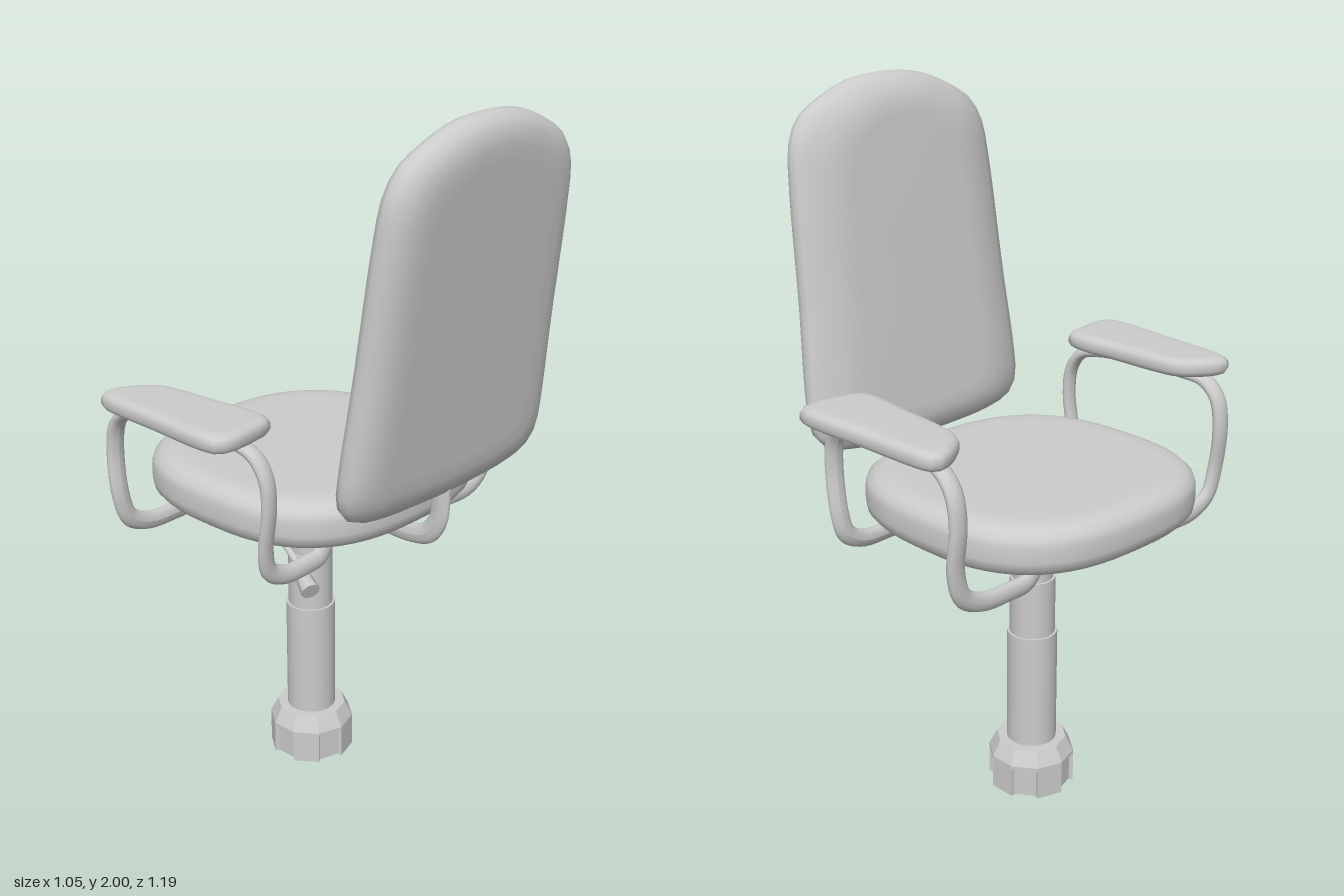
import * as THREE from 'three';

const material = new THREE.MeshStandardMaterial({ color: 0xcccccc, side: THREE.DoubleSide });
const flatMaterial = new THREE.MeshStandardMaterial({ color: 0xcccccc, side: THREE.DoubleSide, flatShading: true });

function add(parent, name, geometry, mat = material) {
  const mesh = new THREE.Mesh(geometry, mat);
  mesh.name = name;
  parent.add(mesh);
  return mesh;
}

// Smooth closed outline through a few points
function smoothOutline(points, count) {
  const curve = new THREE.CatmullRomCurve3(points.map(([x, y]) => new THREE.Vector3(x, y, 0)), true);
  return curve.getSpacedPoints(count).slice(0, count).map(p => new THREE.Vector2(p.x, p.y));
}

// Cushion: outline in xy, rings [height, insetX, insetY] stacked along z, closed at both ends
function cushion(outline, rings) {
  if (THREE.ShapeUtils.area(outline) < 0) outline.reverse();
  const box = new THREE.Box2().setFromPoints(outline);
  const c = box.getCenter(new THREE.Vector2());
  const half = box.getSize(new THREE.Vector2()).multiplyScalar(0.5);
  const n = outline.length, pos = [], index = [];
  for (const [h, ix, iy = ix] of rings)
    for (const p of outline)
      pos.push(c.x + (p.x - c.x) * (1 - ix / half.x), c.y + (p.y - c.y) * (1 - iy / half.y), h);
  const bottom = pos.length / 3, top = bottom + 1, last = (rings.length - 1) * n;
  pos.push(c.x, c.y, rings[0][0], c.x, c.y, rings[rings.length - 1][0]);
  for (let j = 0; j < n; j++) {
    const k = (j + 1) % n;
    for (let i = 0; i < last; i += n) index.push(i + j, i + k, i + n + k, i + j, i + n + k, i + n + j);
    index.push(bottom, k, j, top, last + j, last + k);
  }
  const g = new THREE.BufferGeometry();
  g.setAttribute('position', new THREE.Float32BufferAttribute(pos, 3));
  g.setIndex(index);
  g.computeVertexNormals();
  return g;
}

// Bent bar with an oval section: narrow along the frame normal, wide along the binormal
function bentBar(points, narrow, wide, segments) {
  const curve = new THREE.CatmullRomCurve3(points.map(p => new THREE.Vector3(...p)), false, 'centripetal');
  const radial = 12;
  const g = new THREE.TubeGeometry(curve, segments, narrow, radial);
  const { binormals } = curve.computeFrenetFrames(segments);
  const pos = g.attributes.position, v = new THREE.Vector3();
  for (let i = 0; i <= segments; i++) {
    const center = curve.getPointAt(i / segments);
    for (let j = 0; j <= radial; j++) {
      const id = i * (radial + 1) + j;
      v.fromBufferAttribute(pos, id);
      const along = v.clone().sub(center).dot(binormals[i]);
      v.addScaledVector(binormals[i], along * (wide / narrow - 1));
      pos.setXYZ(id, v.x, v.y, v.z);
    }
  }
  g.computeVertexNormals();
  return g;
}

function createSeat() {
  const outline = [], e = 2 / 2.7;
  for (let i = 0; i < 56; i++) {
    const a = i / 56 * Math.PI * 2, c = Math.cos(a), s = Math.sin(a);
    outline.push(new THREE.Vector2(-0.122 + 0.41 * Math.sign(c) * Math.abs(c) ** e, 0.418 * Math.sign(s) * Math.abs(s) ** e));
  }
  return cushion(outline, [[0.865, 0.06], [0.865, 0.04], [0.872, 0.018], [0.89, 0.003], [0.91, 0],
    [0.95, 0], [0.972, 0.006], [0.99, 0.025], [0.998, 0.05], [1, 0.08], [1, 0.12]]).rotateX(-Math.PI / 2);
}

function createBackrest() {
  const side = [[0.12, 1.988], [0.22, 1.952], [0.3, 1.905], [0.338, 1.84], [0.352, 1.74], [0.37, 1.4],
    [0.388, 1.12], [0.382, 1.055], [0.345, 1.01], [0.25, 0.985], [0.12, 0.975]];
  const mirrored = side.map(([x, y]) => [-x, y]).reverse();
  const outline = smoothOutline([[0, 2], ...side, [0, 0.972], ...mirrored], 72);
  const g = cushion(outline, [[-0.065, 0.14, 0.12], [-0.065, 0.09, 0.08], [-0.058, 0.05, 0.045], [-0.042, 0.02], [-0.02, 0.004],
    [0, 0], [0.018, 0.006], [0.038, 0.04, 0.02], [0.054, 0.085, 0.045], [0.064, 0.13, 0.075], [0.065, 0.18, 0.11]]);
  g.rotateY(-Math.PI / 2);
  // Lean the cushion backwards
  g.applyMatrix4(new THREE.Matrix4().set(1, 0.128, 0, 0.335 - 0.128, 0, 1, 0, 0, 0, 0, 1, 0, 0, 0, 0, 1));
  g.computeVertexNormals();
  return g;
}

function createArm() {
  const arm = new THREE.Group();
  const pad = smoothOutline([[-0.362, 0.535], [-0.335, 0.465], [-0.285, 0.412], [-0.21, 0.396], [-0.06, 0.387], [0.07, 0.377],
    [0.115, 0.392], [0.132, 0.45], [0.141, 0.55], [0.125, 0.586], [0.075, 0.595], [-0.12, 0.582], [-0.3, 0.571], [-0.348, 0.56]], 48);
  const padGeometry = cushion(pad, [[1.193, 0.03], [1.193, 0.018], [1.199, 0.006], [1.21, 0], [1.226, 0],
    [1.236, 0.005], [1.243, 0.016], [1.245, 0.03], [1.245, 0.045]]);
  padGeometry.rotateX(-Math.PI / 2);
  // Slight rise toward the rear
  padGeometry.applyMatrix4(new THREE.Matrix4().set(1, 0, 0, 0, 0.018, 1, 0, 0.002, 0, 0, 1, 0, 0, 0, 0, 1));
  add(arm, 'armPad', padGeometry);
  const path = [[-0.365, 0.865, 0.215], [-0.365, 0.815, 0.25], [-0.365, 0.808, 0.32], [-0.365, 0.812, 0.41], [-0.365, 0.845, 0.475],
    [-0.367, 0.92, 0.5], [-0.378, 1.05, 0.5], [-0.362, 1.13, 0.5], [-0.32, 1.172, 0.497], [-0.25, 1.183, 0.49],
    [0.05, 1.183, 0.465], [0.12, 1.162, 0.457], [0.157, 1.11, 0.453], [0.166, 1.03, 0.452], [0.15, 0.9, 0.452],
    [0.145, 0.84, 0.435], [0.145, 0.81, 0.38], [0.145, 0.808, 0.3], [0.145, 0.815, 0.25], [0.145, 0.865, 0.215]];
  add(arm, 'armFrame', bentBar(path.map(([x, y, z]) => [x, y, -z]), 0.017, 0.027, 110));
  return arm;
}

// Ten-sided hub: sloped collar over panels, every other one set back as a leg socket
function createHub() {
  const hub = new THREE.Group();
  const profile = [[0.125, 0.09], [0.125, 0.1], [0.102, 0.145], [0.06, 0.145]].map(p => new THREE.Vector2(...p));
  add(hub, 'hubCollar', new THREE.LatheGeometry(profile, 10, Math.PI / 10), flatMaterial);
  for (let i = 0; i < 10; i++) {
    const recessed = i % 2 === 0;
    const panel = new THREE.BoxGeometry(recessed ? 0.072 : 0.077, 0.09, 0.012);
    panel.translate(0, 0.045, recessed ? 0.101 : 0.113).rotateY(i * Math.PI / 5);
    add(hub, recessed ? 'legSocket' : 'hubPanel', panel, flatMaterial);
  }
  return hub;
}

export function createModel() {
  const chair = new THREE.Group();
  chair.name = 'officeChair';

  add(chair, 'seat', createSeat());
  add(chair, 'backrest', createBackrest());
  add(chair, 'seatPlate', new THREE.BoxGeometry(0.38, 0.02, 0.32)).position.set(-0.125, 0.862, 0);

  for (const side of [1, -1]) {
    const arm = createArm();
    arm.name = side > 0 ? 'rightArm' : 'leftArm';
    arm.scale.z = side;
    chair.add(arm);
  }

  // Bar carrying the backrest
  add(chair, 'backBar', bentBar([[0.06, 0.838, 0], [0.15, 0.832, 0], [0.25, 0.832, 0], [0.31, 0.85, 0],
    [0.345, 0.9, 0], [0.353, 0.96, 0], [0.353, 1.03, 0]], 0.014, 0.03, 40));
  add(chair, 'backBarClamp', new THREE.BoxGeometry(0.05, 0.045, 0.07)).position.set(0.068, 0.843, 0);

  // Telescopic column and hub
  const column = new THREE.Group();
  column.name = 'column';
  column.position.set(-0.123, 0, 0.01);
  for (const [name, r, y0, y1] of [['lowerTube', 0.072, 0.1, 0.49], ['middleTube', 0.065, 0.49, 0.66], ['upperTube', 0.058, 0.66, 0.84]])
    add(column, name, new THREE.CylinderGeometry(r, r, y1 - y0, 24)).position.y = (y0 + y1) / 2;
  const hub = createHub();
  hub.name = 'hub';
  column.add(hub);
  chair.add(column);

  // Height lever with its grip
  add(chair, 'leverRod', bentBar([[-0.13, 0.826, 0.02], [-0.125, 0.822, 0.16], [-0.11, 0.816, 0.18], [0.06, 0.742, 0.235]], 0.01, 0.01, 30));
  const grip = add(chair, 'leverGrip', new THREE.CylinderGeometry(0.027, 0.017, 0.095, 8));
  grip.position.set(0.085, 0.724, 0.248);
  grip.quaternion.setFromUnitVectors(new THREE.Vector3(0, 1, 0), new THREE.Vector3(0.17, -0.074, 0.07).normalize());

  return chair;
}
